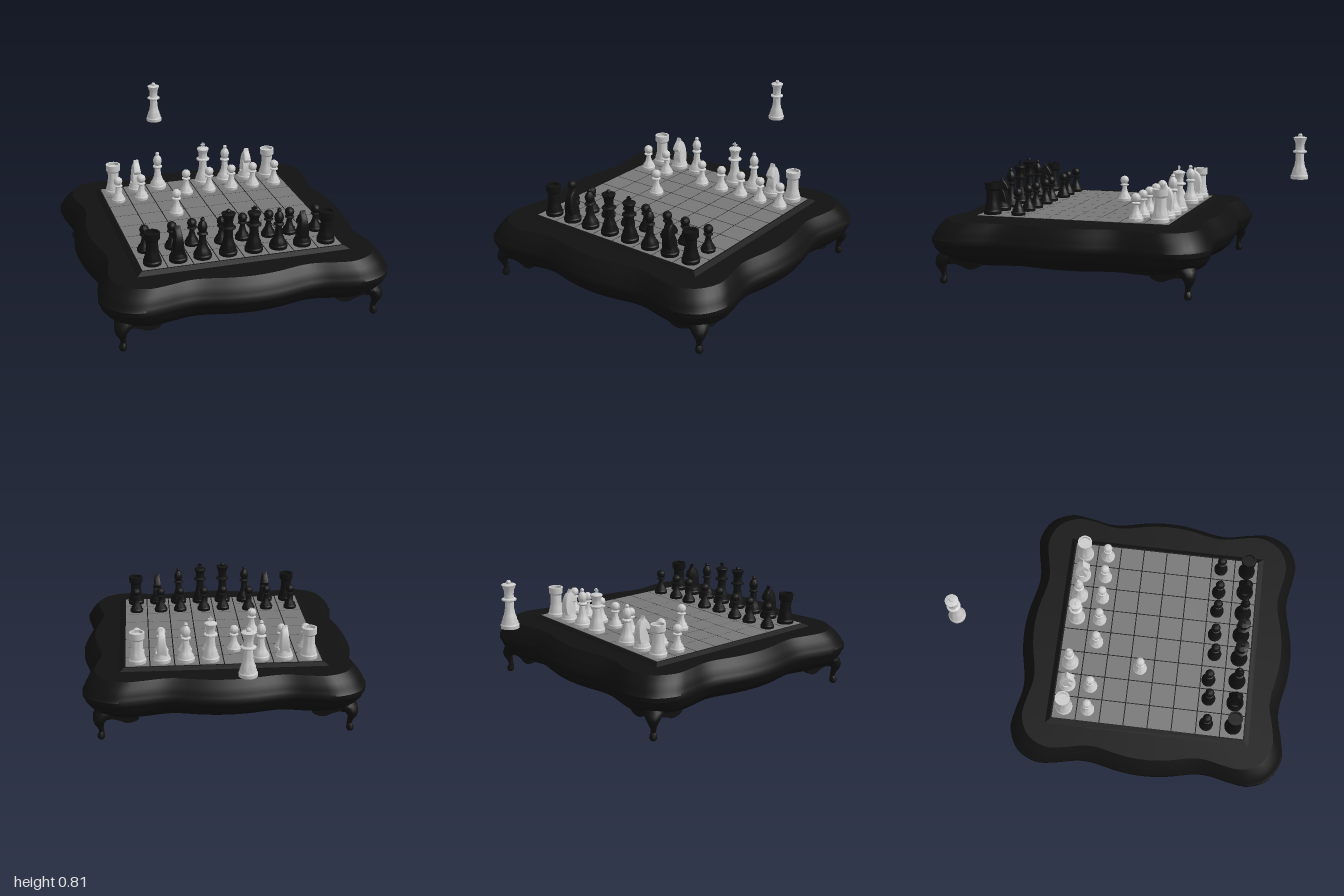
import * as THREE from 'three';
import { toCreasedNormals } from 'three/addons/utils/BufferGeometryUtils.js';

const black = new THREE.MeshStandardMaterial({ color: 0x111111 });
const grey = new THREE.MeshStandardMaterial({ color: 0x777777 });
const pale = new THREE.MeshStandardMaterial({ color: 0xcccccc });
const BOARD_Y = 0.362;

function mesh(name, geometry, material, parent, x = 0, y = 0, z = 0) {
  const m = new THREE.Mesh(geometry, material);
  m.name = name;
  m.position.set(x, y, z);
  parent.add(m);
  return m;
}

// Skin over closed rings of points, listed from bottom to top
function loft(rings) {
  const n = rings[0].length, pos = [], index = [];
  for (const ring of rings) for (const p of ring) pos.push(p.x, p.y, p.z);
  for (let i = 0; i < rings.length - 1; i++) {
    for (let j = 0; j < n; j++) {
      const k = (j + 1) % n, a = i * n + j, c = i * n + k;
      index.push(a, a + n, c, c, a + n, c + n);
    }
  }
  const g = new THREE.BufferGeometry();
  g.setAttribute('position', new THREE.Float32BufferAttribute(pos, 3));
  g.setIndex(index);
  return toCreasedNormals(g, 0.7);
}

const turned = (points) => toCreasedNormals(
  new THREE.LatheGeometry(points.map(([r, y]) => new THREE.Vector2(r, y)), 24), 0.7);

// Wavy square plan of the table, one side repeated four times
function tableOutline() {
  const side = [[0.75, -0.38], [0.75, -0.3], [0.785, -0.13], [0.795, 0], [0.785, 0.13],
    [0.75, 0.3], [0.75, 0.38], [0.775, 0.5], [0.785, 0.61], [0.728, 0.728], [0.61, 0.785], [0.5, 0.775]];
  const pts = [];
  for (let k = 0; k < 4; k++) {
    for (const [a, b] of side) {
      let x = a, z = b;
      for (let i = 0; i < k; i++) [x, z] = [-z, x];
      pts.push(new THREE.Vector3(x, 0, z));
    }
  }
  return new THREE.CatmullRomCurve3(pts, true).getPoints(160).slice(0, -1);
}

function buildTable(parent) {
  const outline = tableOutline();
  // Moulded edge: scale of the plan and height
  const profile = [[0.001, 0.1], [0.8, 0.1], [0.88, 0.123], [0.925, 0.14], [0.96, 0.165], [0.985, 0.195],
    [0.988, 0.212], [1, 0.225], [1, 0.25], [0.988, 0.262], [0.98, 0.28], [0.955, 0.31], [0.915, 0.345], [0.001, 0.345]];
  mesh('tableBody', loft(profile.map(([s, y]) =>
    outline.map((p) => new THREE.Vector3(p.x * s, y, p.z * s)))), black, parent);

  // Cabriole leg: distance along the diagonal, height and radius
  const legPath = [[0.69, 0, 0.001], [0.69, 0, 0.015], [0.69, 0.012, 0.021], [0.69, 0.026, 0.02],
    [0.686, 0.042, 0.014], [0.69, 0.065, 0.016], [0.698, 0.095, 0.026], [0.692, 0.12, 0.04], [0.675, 0.15, 0.055], [0.65, 0.18, 0.06]];
  const legGeo = loft(legPath.map(([d, y, r]) => Array.from({ length: 16 }, (_, i) => {
    const a = (i / 16) * Math.PI * 2;
    return new THREE.Vector3(d + r * Math.cos(a), y, d + r * Math.sin(a));
  })));

  // Scrolled bracket beside each leg
  const s = new THREE.Shape();
  s.moveTo(0.48, 0.15);
  s.lineTo(0.48, 0.105);
  s.quadraticCurveTo(0.51, 0.075, 0.56, 0.083);
  s.quadraticCurveTo(0.62, 0.115, 0.68, 0.105);
  s.lineTo(0.7, 0.15);
  const bracketGeo = new THREE.ExtrudeGeometry(s, { depth: 0.03, bevelEnabled: false, curveSegments: 8 });
  bracketGeo.translate(0, 0, -0.015);

  for (let k = 0; k < 4; k++) {
    const corner = new THREE.Group();
    corner.name = 'legSide';
    corner.rotation.y = k * Math.PI / 2;
    mesh('leg', legGeo, black, corner);
    mesh('bracketLeft', bracketGeo, black, corner, 0, 0, 0.66);
    mesh('bracketRight', bracketGeo, black, corner, 0, 0, 0.66).rotation.y = Math.PI;
    parent.add(corner);
  }

  // Raised board with sloping border and 64 tiles
  const border = new THREE.CylinderGeometry(0.555 * Math.SQRT2, 0.585 * Math.SQRT2, 0.017, 4, 1);
  border.rotateY(Math.PI / 4);
  mesh('boardBorder', toCreasedNormals(border, 0.1), black, parent, 0, 0.3515, 0);
  const tile = new THREE.BoxGeometry(0.132, 0.006, 0.132);
  for (let i = 0; i < 8; i++) {
    for (let j = 0; j < 8; j++) {
      mesh('tile', tile, grey, parent, (i - 3.5) * 0.1375, BOARD_Y - 0.003, (j - 3.5) * 0.1375);
    }
  }
}

const foot = [[0.001, 0], [0.048, 0], [0.049, 0.018], [0.044, 0.024], [0.044, 0.032]];
const pawnGeo = turned([[0.001, 0], [0.039, 0], [0.04, 0.015], [0.034, 0.022], [0.033, 0.03], [0.022, 0.045],
  [0.014, 0.075], [0.014, 0.088], [0.025, 0.094], [0.025, 0.098], [0.014, 0.103], [0.023, 0.112],
  [0.026, 0.125], [0.022, 0.139], [0.012, 0.148], [0.001, 0.15]]);
const rookGeo = turned([...foot, [0.037, 0.055], [0.032, 0.09], [0.032, 0.132], [0.041, 0.142], [0.042, 0.178],
  [0.033, 0.178], [0.033, 0.162], [0.001, 0.162]]);
const bishopGeo = turned([...foot, [0.032, 0.05], [0.021, 0.08], [0.017, 0.125], [0.028, 0.133], [0.028, 0.138],
  [0.017, 0.145], [0.023, 0.158], [0.026, 0.175], [0.021, 0.193], [0.009, 0.208], [0.012, 0.216], [0.008, 0.225], [0.001, 0.227]]);
const royalStem = [...foot, [0.038, 0.045], [0.038, 0.053], [0.03, 0.07], [0.024, 0.105], [0.023, 0.142],
  [0.039, 0.15], [0.039, 0.156], [0.027, 0.162], [0.024, 0.176]];
const queenGeo = turned([...royalStem, [0.026, 0.2], [0.038, 0.232], [0.032, 0.235], [0.012, 0.238],
  [0.013, 0.246], [0.008, 0.254], [0.001, 0.255]]);
const kingGeo = turned([...royalStem, [0.027, 0.195], [0.036, 0.216], [0.034, 0.221], [0.012, 0.23], [0.001, 0.231]]);
const knightBaseGeo = turned([...foot, [0.036, 0.044], [0.036, 0.052], [0.001, 0.055]]);

// Horse head, facing +z, thinner towards the ears
function horseHead() {
  const s = new THREE.Shape();
  s.moveTo(-0.03, 0.045);
  s.bezierCurveTo(-0.04, 0.1, -0.035, 0.155, 0, 0.172);
  s.lineTo(0.006, 0.19);
  s.lineTo(0.013, 0.17);
  s.quadraticCurveTo(0.03, 0.155, 0.042, 0.128);
  s.lineTo(0.036, 0.114);
  s.quadraticCurveTo(0.018, 0.12, 0.008, 0.122);
  s.quadraticCurveTo(0.03, 0.085, 0.03, 0.045);
  const g = new THREE.ExtrudeGeometry(s, { depth: 0.03, curveSegments: 8, bevelSize: 0.003, bevelThickness: 0.008, bevelSegments: 2 });
  g.translate(0, 0, -0.015);
  const p = g.attributes.position;
  for (let i = 0; i < p.count; i++) p.setZ(i, p.getZ(i) * (1.25 - 4.2 * (p.getY(i) - 0.045)));
  g.rotateY(-Math.PI / 2);
  return toCreasedNormals(g, 0.7);
}
const horseGeo = horseHead();

function piece(type, material, parent, x, z, y = BOARD_Y) {
  const g = new THREE.Group();
  g.name = type;
  g.position.set(x, y, z);
  if (material === black) g.rotation.y = Math.PI;
  const body = { pawn: pawnGeo, rook: rookGeo, bishop: bishopGeo, queen: queenGeo, king: kingGeo, knight: knightBaseGeo }[type];
  mesh(type + 'Body', body, material, g);
  if (type === 'knight') mesh('horseHead', horseGeo, material, g);
  if (type === 'king') {
    mesh('crossUpright', new THREE.BoxGeometry(0.009, 0.03, 0.009), material, g, 0, 0.241, 0);
    mesh('crossArm', new THREE.BoxGeometry(0.028, 0.009, 0.009), material, g, 0, 0.244, 0);
  }
  parent.add(g);
}

export function createModel() {
  const model = new THREE.Group();
  model.name = 'chessTable';
  const table = new THREE.Group();
  table.name = 'table';
  table.position.z = 0.195;
  buildTable(table);
  model.add(table);

  const ranks = ['rook', 'knight', 'bishop', 'queen', 'king', 'bishop', 'knight', 'rook'];
  const files = [-0.48, -0.342, -0.21, -0.07, 0.072, 0.21, 0.344, 0.48];
  // Slightly untidy dark pawns
  const darkPawns = [[-0.485, 0.525], [-0.335, 0.525], [-0.222, 0.515], [-0.063, 0.535],
    [0.058, 0.525], [0.207, 0.525], [0.327, 0.525], [0.478, 0.525]];
  ranks.forEach((type, i) => {
    piece(type, black, model, files[i], 0.678);
    piece('pawn', black, model, ...darkPawns[i]);
    // The pale queen floats behind the table, one pale pawn has advanced
    if (type === 'queen') piece(type, pale, model, -0.068, -0.951, 0.55);
    else piece(type, pale, model, files[i], -0.29);
    if (i === 2) piece('pawn', pale, model, -0.2, 0.115);
    else piece('pawn', pale, model, files[i], -0.155);
  });
  return model;
}
